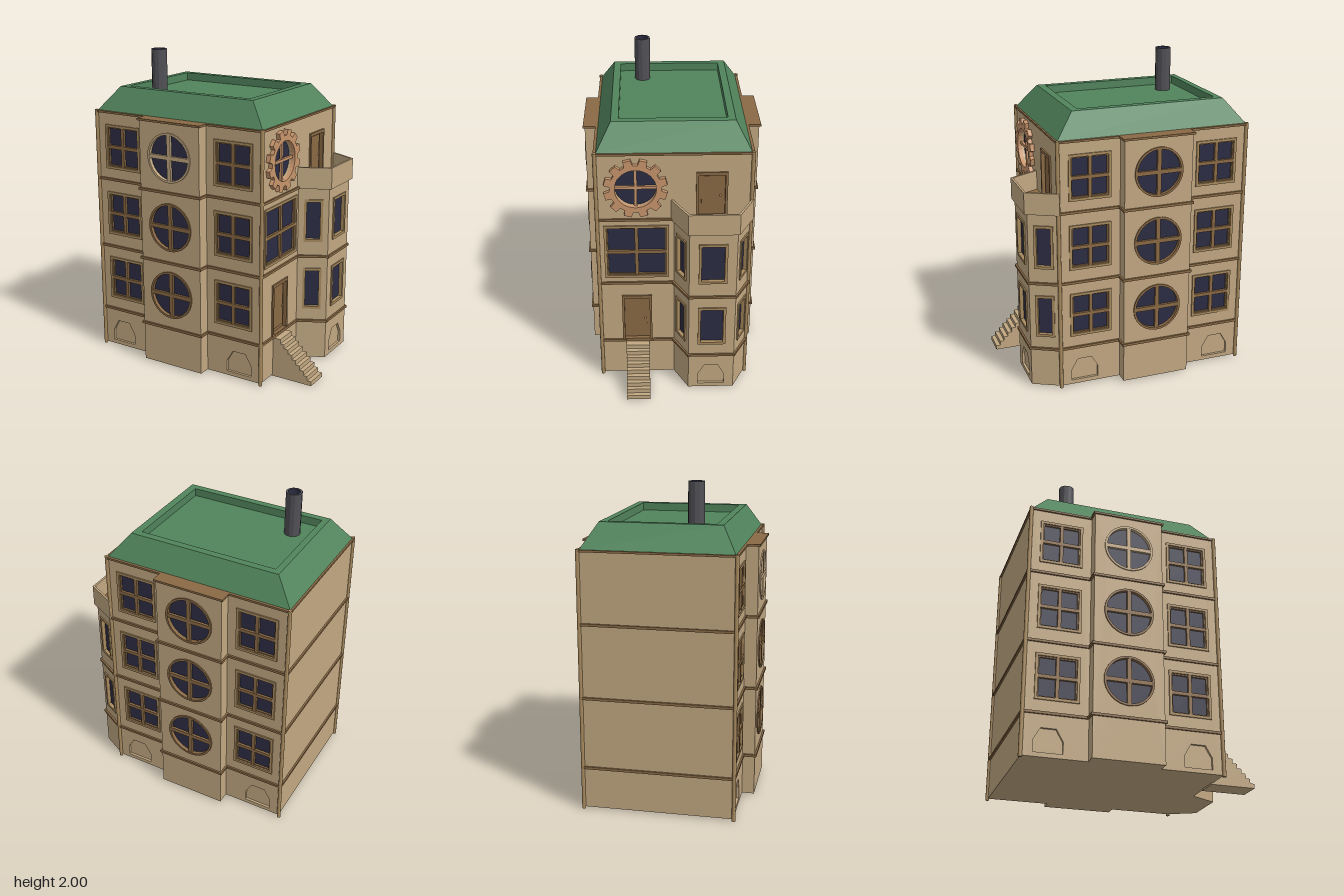
import * as THREE from 'three';

const mat = (name, color) => Object.assign(new THREE.MeshStandardMaterial({ color }), { name });
const M = {
  wall: mat('sandstone', 0xc2a882),
  brown: mat('brown wood', 0x8a6a45),
  trim: mat('tan trim', 0xa88a5e),
  glass: mat('dark glass', 0x2c2c44),
  roof: mat('green roof', 0x51845c),
  copper: mat('copper', 0xc8956c),
  iron: mat('chimney iron', 0x505056),
};

const BASE = 0.01, EAVES = 1.62, CX = -0.13;

function add(parent, name, geo, material, x = 0, y = 0, z = 0) {
  const m = new THREE.Mesh(geo, material);
  m.name = name;
  m.position.set(x, y, z);
  parent.add(m);
  return m;
}
const box = (w, h, d) => new THREE.BoxGeometry(w, h, d);
const extrude = (shape, depth) =>
  new THREE.ExtrudeGeometry(shape, { depth, bevelEnabled: false, curveSegments: 16 });
const poly = (pts) => new THREE.Shape(pts.map(([x, y]) => new THREE.Vector2(x, y)));
const rect = (w, h, x = 0, y = 0) => poly([
  [x - w / 2, y - h / 2], [x + w / 2, y - h / 2], [x + w / 2, y + h / 2], [x - w / 2, y + h / 2]]);
function circle(r, x = 0, y = 0) {
  const s = new THREE.Shape();
  s.absarc(x, y, r, 0, Math.PI * 2, false);
  return s;
}
const arch = (w, h, x, y) => poly([[-0.5, -0.5], [0.5, -0.5], [0.5, 0], [0.26, 0.5], [-0.26, 0.5], [-0.5, 0]]
  .map(([a, b]) => [x + a * w, y + b * h]));
function ring(outer, inner, depth) {
  outer.holes.push(inner);
  return extrude(outer, depth);
}

// Outline of one opening
const outline = (o, x = o.x, y = o.y) =>
  o.kind === 'round' || o.kind === 'gear' ? circle(o.w / 2, x, y)
    : o.kind === 'niche' ? arch(o.w, o.h, x, y) : rect(o.w, o.h, x, y);

// Toothed copper ring around the round side window
function gearShape(root, tip, teeth) {
  const pts = [];
  for (let i = 0; i < teeth; i++) {
    const mid = ((i + 0.5) / teeth) * Math.PI * 2;
    for (const [r, a] of [[root, -0.17], [tip, -0.12], [tip, 0.12], [root, 0.17]])
      pts.push([r * Math.cos(mid + a), r * Math.sin(mid + a)]);
  }
  return poly(pts);
}

// Frame, bars and infill of one opening
function fillOpening(parent, o) {
  const g = new THREE.Group();
  g.name = o.kind + 'Opening';
  g.position.set(o.x, o.y, 0);
  parent.add(g);
  const { w, h = o.w } = o;
  const bars = (t, material) => {
    add(g, 'verticalBar', box(t, h, 0.016), material, 0, 0, -0.002);
    add(g, 'horizontalBar', box(w, t, 0.016), material, 0, 0, -0.001);
  };
  const infill = (material) =>
    add(g, 'infill', new THREE.ShapeGeometry(outline(o, 0, 0), 16), material, 0, 0, -0.016);
  if (o.kind === 'niche') return infill(M.wall);
  if (o.kind === 'door') {
    infill(M.brown);
    add(g, 'doorFrame', ring(rect(w, h), rect(w - 0.03, h - 0.03, 0, -0.005), 0.028), M.brown, 0, 0, -0.018);
    add(g, 'doorPanel', box(w * 0.66, h * 0.8, 0.008), M.brown, 0, 0, -0.013);
    add(g, 'doorKnob', new THREE.SphereGeometry(0.007, 8, 6), M.copper, w * 0.27, -0.01, -0.006);
    return;
  }
  infill(M.glass);
  if (o.kind === 'gear') {
    add(g, 'gearRing', ring(gearShape(0.157, 0.192, 12), circle(w / 2), 0.026), M.copper);
    bars(0.018, M.copper);
  } else if (o.kind === 'round') {
    const material = o.pale ? M.wall : M.brown;
    add(g, 'roundFrame', ring(circle(w / 2 + 0.004), circle(w / 2 - 0.01), 0.024), material, 0, 0, -0.016);
    bars(0.026, material);
  } else {
    add(g, 'windowFrame', ring(rect(w, h), rect(w - 0.034, h - 0.034), 0.026), M.trim, 0, 0, -0.018);
    if (o.kind === 'cross') {
      bars(0.022, M.brown);
      add(g, 'sash', ring(rect(w - 0.034, h - 0.034), rect(w - 0.05, h - 0.05), 0.012), M.brown, 0, 0, -0.014);
    }
  }
}

// Wall slab whose outer face is local z = 0
function wall(parent, name, x, z, angle, width, openings, { y0 = BASE, y1 = EAVES, depth = 0.03 } = {}) {
  const g = new THREE.Group();
  g.name = name;
  g.position.set(x, 0, z);
  g.rotation.y = angle;
  parent.add(g);
  const s = rect(width, y1 - y0, 0, (y0 + y1) / 2);
  openings.forEach((o) => s.holes.push(outline(o)));
  add(g, 'wallSlab', extrude(s, depth), M.wall, 0, 0, -depth);
  openings.forEach((o) => fillOpening(g, o));
}

// Long facade with two wings and a projecting centre
function facade(parent, name, sign, paleTop) {
  const g = new THREE.Group();
  g.name = name;
  g.position.x = CX;
  g.rotation.y = sign > 0 ? 0 : Math.PI;
  parent.add(g);
  for (const s of [-1, 1]) {
    const windows = [0.495, 0.945, 1.39].map((y) => ({ kind: 'cross', x: s * 0.0, y, w: 0.27, h: 0.29 }));
    windows.forEach((o) => { o.x = s * 0.0 + s * (0.413 - 0.41); });
    wall(g, 'wing', s * 0.41, 0.465, 0, 0.4,
      [...windows, { kind: 'niche', x: s * 0.045, y: 0.11, w: 0.175, h: 0.145 }]);
  }
  wall(g, 'centreProjection', 0, 0.542, 0, 0.44,
    [0.5, 0.95, 1.395].map((y, i) => ({ kind: 'round', x: 0, y, w: 0.305, pale: paleTop && i === 2 })), { depth: 0.1 });
}

// Bay corners in plan, from the front end to the back end
const bayPoints = (e) => [[0.48, e], [0.652 + e, -0.088 + e * 0.5], [0.652 + e, -0.377 - e * 0.5], [0.48, -0.465 - e]];

// Horizontal slab that follows the plan of the house
function planSlab(parent, name, y, h, e, withBay, material) {
  const half = [[-0.74 - e, 0.465 + e], [-0.35 - e, 0.465 + e], [-0.35 - e, 0.542 + e],
    [0.09 + e, 0.542 + e], [0.09 + e, 0.465 + e], [0.48 + e, 0.465 + e]];
  const bay = withBay ? [[0.48 + e, e], ...bayPoints(e).slice(1, 3)] : [];
  const back = half.map(([x, z]) => [x, -z]).reverse();
  const s = poly([...half, ...bay, ...back].map(([x, z]) => [x, -z]));
  add(parent, name, extrude(s, h).rotateX(-Math.PI / 2), material, 0, y, 0);
}

function bayWalls(parent, name, e, openings, opts) {
  const p = bayPoints(e);
  for (let i = 0; i < 3; i++) {
    const [[ax, az], [bx, bz]] = [p[i], p[i + 1]];
    wall(parent, name, (ax + bx) / 2, (az + bz) / 2, Math.atan2(az - bz, bx - ax),
      Math.hypot(bx - ax, bz - az), openings(i), opts);
  }
}

// Sloped roof built from rectangular loops, with a sunken deck
function roofGeometry() {
  const loops = [[-0.74, 0.48, 0.46, 1.62], [-0.62, 0.36, 0.37, 1.77], [-0.58, 0.312, 0.325, 1.77], [-0.58, 0.312, 0.325, 1.72]]
    .map(([x0, x1, z, y]) => [[x0, y, z], [x1, y, z], [x1, y, -z], [x0, y, -z]]);
  const v = [];
  const quad = (a, b, c, d) => v.push(...a, ...b, ...c, ...a, ...c, ...d);
  for (let k = 0; k < 3; k++)
    for (let i = 0; i < 4; i++) {
      const j = (i + 1) % 4;
      quad(loops[k][i], loops[k][j], loops[k + 1][j], loops[k + 1][i]);
    }
  quad(...loops[3]);
  const g = new THREE.BufferGeometry();
  g.setAttribute('position', new THREE.Float32BufferAttribute(v, 3));
  g.computeVertexNormals();
  return g;
}

const lathe = (pts) => {
  const g = new THREE.LatheGeometry(pts.map(([x, y]) => new THREE.Vector2(x, y)), 12).toNonIndexed();
  g.computeVertexNormals();
  return g;
};

export function createModel() {
  const house = new THREE.Group();
  house.name = 'townHouse';

  // Walls
  facade(house, 'frontFacade', 1, true);
  facade(house, 'backFacade', -1, false);
  wall(house, 'plainSideWall', -0.74, 0, -Math.PI / 2, 0.93, []);
  wall(house, 'entranceSideWall', 0.48, 0, Math.PI / 2, 0.93, [
    { kind: 'gear', x: -0.23, y: 1.395, w: 0.25 },
    { kind: 'cross', x: -0.23, y: 0.945, w: 0.4, h: 0.375 },
    { kind: 'door', x: -0.235, y: 0.447, w: 0.19, h: 0.345 },
    { kind: 'door', x: 0.227, y: 1.34, w: 0.19, h: 0.305 },
  ]);

  // Bay with balcony
  bayWalls(house, 'bayWall', 0, (i) => [
    ...[0.495, 0.955].map((y) => ({ kind: 'pane', x: 0, y, w: i === 1 ? 0.175 : 0.12, h: 0.28 })),
    ...(i === 1 ? [{ kind: 'niche', x: 0, y: 0.11, w: 0.17, h: 0.145 }] : []),
  ], { y1: 1.18 });
  bayWalls(house, 'balconyParapet', 0.018, () => [], { y0: 1.168, y1: 1.305, depth: 0.014 });

  // Base, floor bands and cornice
  planSlab(house, 'baseSlab', BASE, 0.01, -0.001, true, M.wall);
  for (const y of [0.262, 0.708, 1.166]) planSlab(house, 'floorBand', y, 0.016, 0.011, true, M.brown);
  planSlab(house, 'cornice', 1.608, 0.013, 0.011, false, M.brown);
  for (const x of [-0.743, 0.483]) for (const z of [-0.468, 0.468])
    add(house, 'cornerPost', new THREE.CylinderGeometry(0.012, 0.012, 1.625, 10), M.trim, x, 0.8125, z);

  // Entrance stairs
  const n = 9, run = 0.25 / n, rise = 0.262 / n, pts = [[0.47, 0], [0.755, 0]];
  for (let i = 0; i < n; i++)
    pts.push([0.755 - i * run, (i + 1) * rise], [0.755 - (i + 1) * run, (i + 1) * rise]);
  pts.push([0.47, n * rise]);
  add(house, 'entranceStairs', extrude(poly(pts), 0.15), M.wall, 0, 0, 0.158);

  // Roof and chimney
  add(house, 'roof', roofGeometry(), M.roof);
  add(house, 'chimney', lathe([[0.05, 1.71], [0.05, 2], [0.037, 2]]), M.iron, -0.45, 0, 0.18);
  add(house, 'chimneyFlue', lathe([[0.037, 2], [0.037, 1.85], [0, 1.85]]), M.glass, -0.45, 0, 0.18);
  return house;
}
